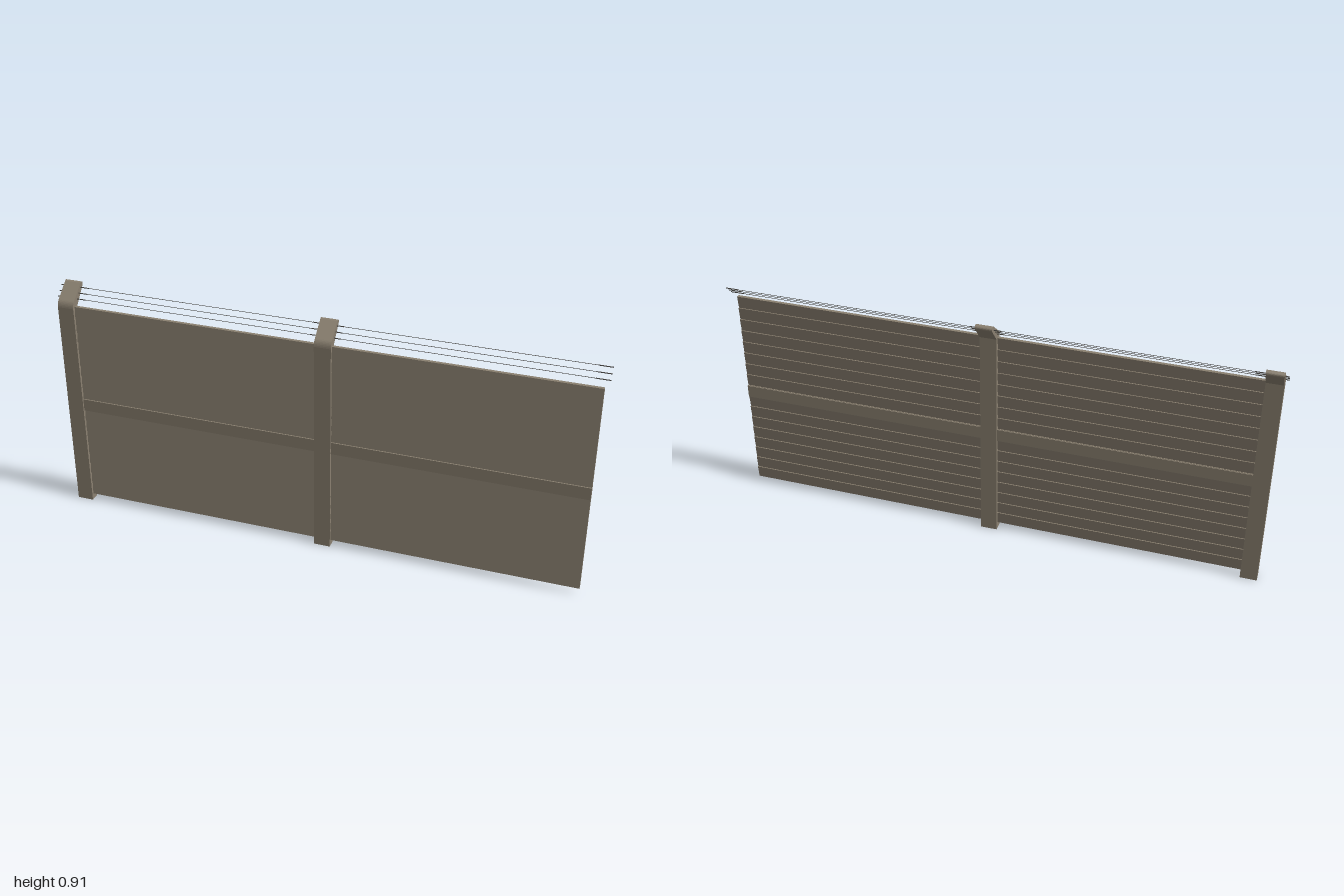
import * as THREE from 'three';

const fenceMat = new THREE.MeshStandardMaterial({ color: 0x8a8070 });
fenceMat.name = 'weathered taupe';
const wireMat = new THREE.MeshStandardMaterial({ color: 0x45433f });
wireMat.name = 'dark wire';

const POSTS = [-0.968, 0.02];
const PANEL = { left: -0.968, right: 0.985, bottom: 0.025, top: 0.836 };
const SLATS = 17;
// strand height and depth along the overhanging arms
const STRANDS = [[0.891, -0.033], [0.875, -0.016], [0.859, 0.0]];

// extrude a (depth, height) side profile along the fence, centred on x = 0
function extrudeAlong(shape, length) {
  const g = new THREE.ExtrudeGeometry(shape, { depth: length, bevelEnabled: false, curveSegments: 6 });
  g.translate(0, 0, -length / 2);
  g.rotateY(-Math.PI / 2);
  return g;
}

function add(parent, name, geometry, material, x = 0, y = 0, z = 0) {
  const mesh = new THREE.Mesh(geometry, material);
  mesh.name = name;
  mesh.position.set(x, y, z);
  parent.add(mesh);
  return mesh;
}

function rod(radius, length, sides) {
  return new THREE.CylinderGeometry(radius, radius, length, sides).rotateZ(Math.PI / 2);
}

// upright with a bent arm leaning to the back
function postGeometry() {
  const s = new THREE.Shape();
  s.moveTo(0, 0);
  s.lineTo(0.035, 0);
  s.lineTo(0.035, 0.832);
  s.quadraticCurveTo(0.034, 0.85, 0.023, 0.859);
  s.lineTo(-0.036, 0.907);
  s.quadraticCurveTo(-0.046, 0.912, -0.052, 0.904);
  s.quadraticCurveTo(-0.055, 0.898, -0.05, 0.892);
  s.lineTo(0, 0.835);
  s.closePath();
  return extrudeAlong(s, 0.062);
}

// tilted board: foot forward, head to the back
function slatGeometry(length, height) {
  const s = new THREE.Shape();
  s.moveTo(0.014, 0);
  s.lineTo(0.0265, 0);
  s.lineTo(0.0225, height);
  s.lineTo(0.01, height);
  s.closePath();
  return extrudeAlong(s, length);
}

export function createModel() {
  const model = new THREE.Group();
  model.name = 'fence';
  const fence = new THREE.Group();
  fence.name = 'fenceRun';
  fence.rotation.y = 0.058;
  model.add(fence);

  // posts
  const post = postGeometry();
  POSTS.forEach((x) => add(fence, 'post', post, fenceMat, x));

  // stacked slats
  const length = PANEL.right - PANEL.left;
  const mid = (PANEL.right + PANEL.left) / 2;
  const height = (PANEL.top - PANEL.bottom) / SLATS;
  const slat = slatGeometry(length, height);
  for (let i = 0; i < SLATS; i++) {
    add(fence, 'slat', slat, fenceMat, mid, PANEL.bottom + i * height);
  }

  // middle rail
  add(fence, 'middleRail', new THREE.BoxGeometry(length, 0.048, 0.022), fenceMat, mid, 0.429, 0.018);

  // wire strands with thicker sleeves where they pass the arms
  const wireLength = 1.0 - POSTS[0];
  const wire = rod(0.0009, wireLength, 6);
  const sleeve = rod(0.0018, 0.112, 8);
  const endSleeve = rod(0.0018, 0.05, 8);
  STRANDS.forEach(([y, z]) => {
    add(fence, 'wire', wire, wireMat, POSTS[0] + wireLength / 2, y, z);
    POSTS.forEach((x) => add(fence, 'wireSleeve', sleeve, wireMat, x + (x < -0.9 ? 0.01 : 0), y, z));
    add(fence, 'endSleeve', endSleeve, wireMat, 0.976, y, z);
  });

  return model;
}
